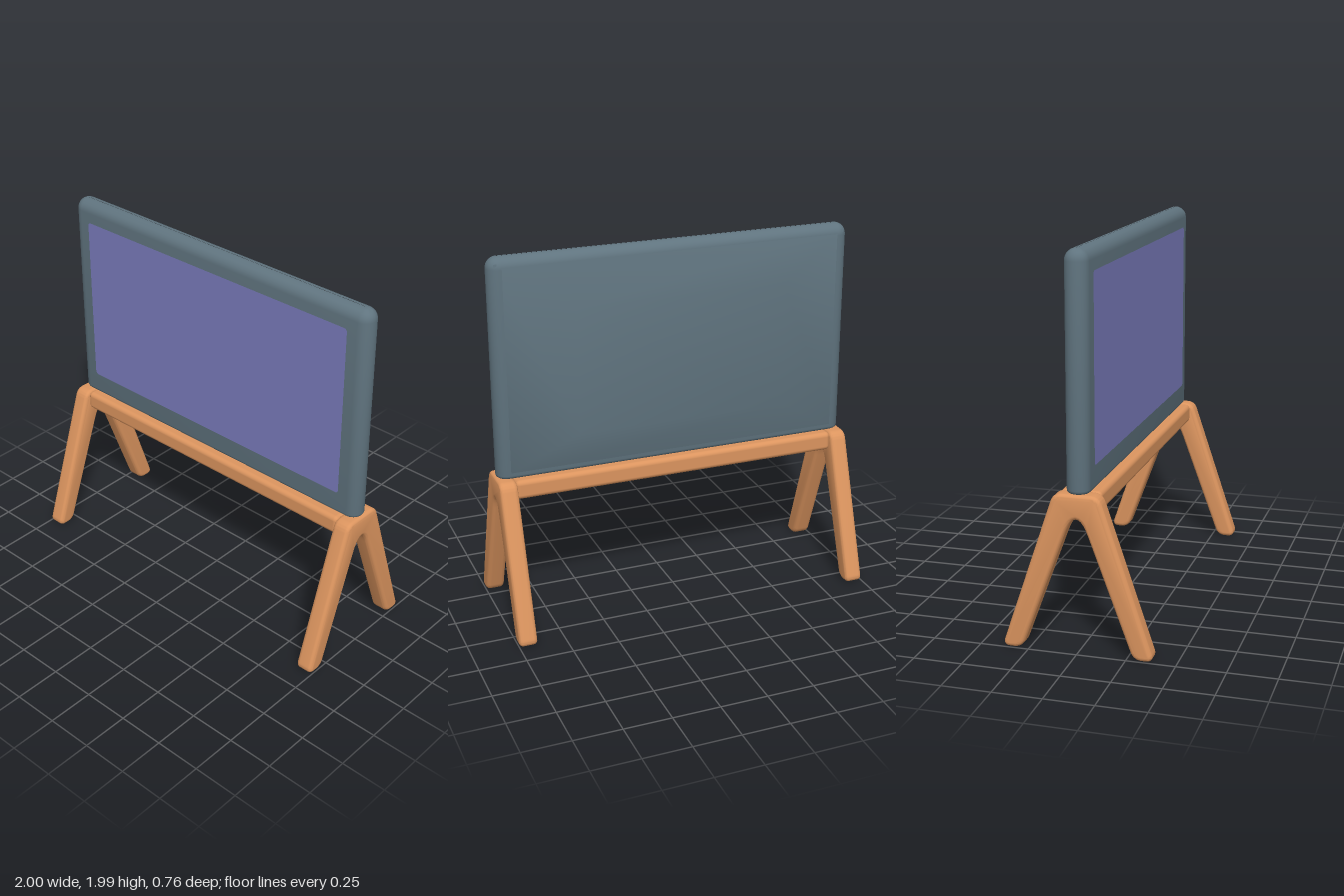
import * as THREE from 'three';
import { toCreasedNormals } from 'three/addons/utils/BufferGeometryUtils.js';
import { RoundedBoxGeometry } from 'three/addons/geometries/RoundedBoxGeometry.js';

const wood = new THREE.MeshStandardMaterial({ color: 0xdc955f });
wood.name = 'wood';
const slate = new THREE.MeshStandardMaterial({ color: 0x60747f });
slate.name = 'slate casing';
const violet = new THREE.MeshStandardMaterial({ color: 0x7a7bbc });
violet.name = 'violet screen';

function addMesh(group, name, geometry, material) {
  const mesh = new THREE.Mesh(geometry, material);
  mesh.name = name;
  group.add(mesh);
  return mesh;
}

// Polygon whose corners [x, y, cut] are rounded by a curve starting "cut" away from the corner
function roundedShape(corners) {
  const shape = new THREE.Shape();
  corners.forEach(([x, y, cut], i) => {
    const p = new THREE.Vector2(x, y);
    const toward = ([nx, ny]) => new THREE.Vector2(nx, ny).sub(p).setLength(cut).add(p);
    const a = toward(corners[(i + corners.length - 1) % corners.length]);
    const b = toward(corners[(i + 1) % corners.length]);
    if (i === 0) shape.moveTo(a.x, a.y);
    else shape.lineTo(a.x, a.y);
    shape.quadraticCurveTo(x, y, b.x, b.y);
  });
  shape.closePath();
  return shape;
}

// Casing: stadium cross-sections stacked upward, with a small bottom rounding and a full dome on top
function casingGeometry() {
  const radius = 0.06, halfStraight = 0.93, bottom = 0.812, top = 1.99, steps = 12;
  const rings = [[0.001, bottom]];
  for (let i = 0; i <= 4; i++) {
    const t = (i / 4) * Math.PI / 2;
    rings.push([radius - 0.02 * (1 - Math.sin(t)), bottom + 0.02 * (1 - Math.cos(t))]);
  }
  for (let i = 0; i <= 8; i++) {
    const t = (i / 8) * Math.PI / 2;
    rings.push([Math.max(radius * Math.cos(t), 0.001), top - radius + radius * Math.sin(t)]);
  }
  const count = 2 * (steps + 1), positions = [], index = [];
  for (const [r, y] of rings) {
    for (const side of [1, -1]) {
      for (let k = 0; k <= steps; k++) {
        const a = (k / steps - 0.5) * Math.PI;
        positions.push(side * (halfStraight + r * Math.cos(a)), y, side * r * Math.sin(a));
      }
    }
  }
  for (let j = 0; j < rings.length - 1; j++) {
    for (let k = 0; k < count; k++) {
      const a = j * count + k, b = j * count + (k + 1) % count;
      index.push(a, a + count, b, b, a + count, b + count);
    }
  }
  const geometry = new THREE.BufferGeometry();
  geometry.setAttribute('position', new THREE.Float32BufferAttribute(positions, 3));
  geometry.setIndex(index);
  return toCreasedNormals(geometry, 0.6);
}

// Rear housing: softly shaded frustum, open where it meets the casing
function housingGeometry() {
  const positions = [];
  for (const [hx, low, high, z] of [[0.96, 0.825, 1.96, -0.05], [0.57, 1.05, 1.72, -0.15]]) {
    positions.push(-hx, low, z, hx, low, z, hx, high, z, -hx, high, z);
  }
  const index = [4, 7, 6, 4, 6, 5];
  for (let k = 0; k < 4; k++) {
    const n = (k + 1) % 4;
    index.push(k, k + 4, n, n, k + 4, n + 4);
  }
  const geometry = new THREE.BufferGeometry();
  geometry.setAttribute('position', new THREE.Float32BufferAttribute(positions, 3));
  geometry.setIndex(index);
  geometry.computeVertexNormals();
  return geometry;
}

// A-shaped leg frame with softened edges, extruded along x
function legGeometry() {
  const half = [[0.115, 0.815, 0.045], [0.39, 0, 0.045], [0.285, 0, 0.045]];
  const mirrored = half.map(([x, y, cut]) => [-x, y, cut]).reverse();
  const shape = roundedShape([...half, [0, 0.77, 0.17], ...mirrored]);
  const bevel = 0.022, width = 0.097;
  const geometry = new THREE.ExtrudeGeometry(shape, {
    depth: width - 2 * bevel, curveSegments: 10, bevelEnabled: true,
    bevelThickness: bevel, bevelSize: bevel, bevelOffset: -bevel, bevelSegments: 5,
  });
  geometry.translate(0, 0, bevel - width / 2);
  geometry.rotateY(Math.PI / 2);
  return toCreasedNormals(geometry, 0.6);
}

export function createModel() {
  const model = new THREE.Group();
  model.name = 'display on stand';

  // Display
  const display = new THREE.Group();
  display.name = 'display';
  model.add(display);
  addMesh(display, 'casing', casingGeometry(), slate);
  addMesh(display, 'rearHousing', housingGeometry(), slate);
  const screenShape = roundedShape([
    [-0.877, 0.935, 0.02], [0.877, 0.935, 0.02], [0.877, 1.877, 0.02], [-0.877, 1.877, 0.02],
  ]);
  const screen = addMesh(display, 'screen', new THREE.ShapeGeometry(screenShape, 4), violet);
  screen.position.z = 0.063;

  // Wooden stand
  const stand = new THREE.Group();
  stand.name = 'stand';
  model.add(stand);
  const beam = addMesh(stand, 'crossBeam', new RoundedBoxGeometry(1.82, 0.104, 0.21, 4, 0.025), wood);
  beam.position.y = 0.761;
  const leg = legGeometry();
  for (const [name, side] of [['leftLegs', 1], ['rightLegs', -1]]) {
    addMesh(stand, name, leg, wood).position.x = side * 0.951;
  }
  return model;
}
